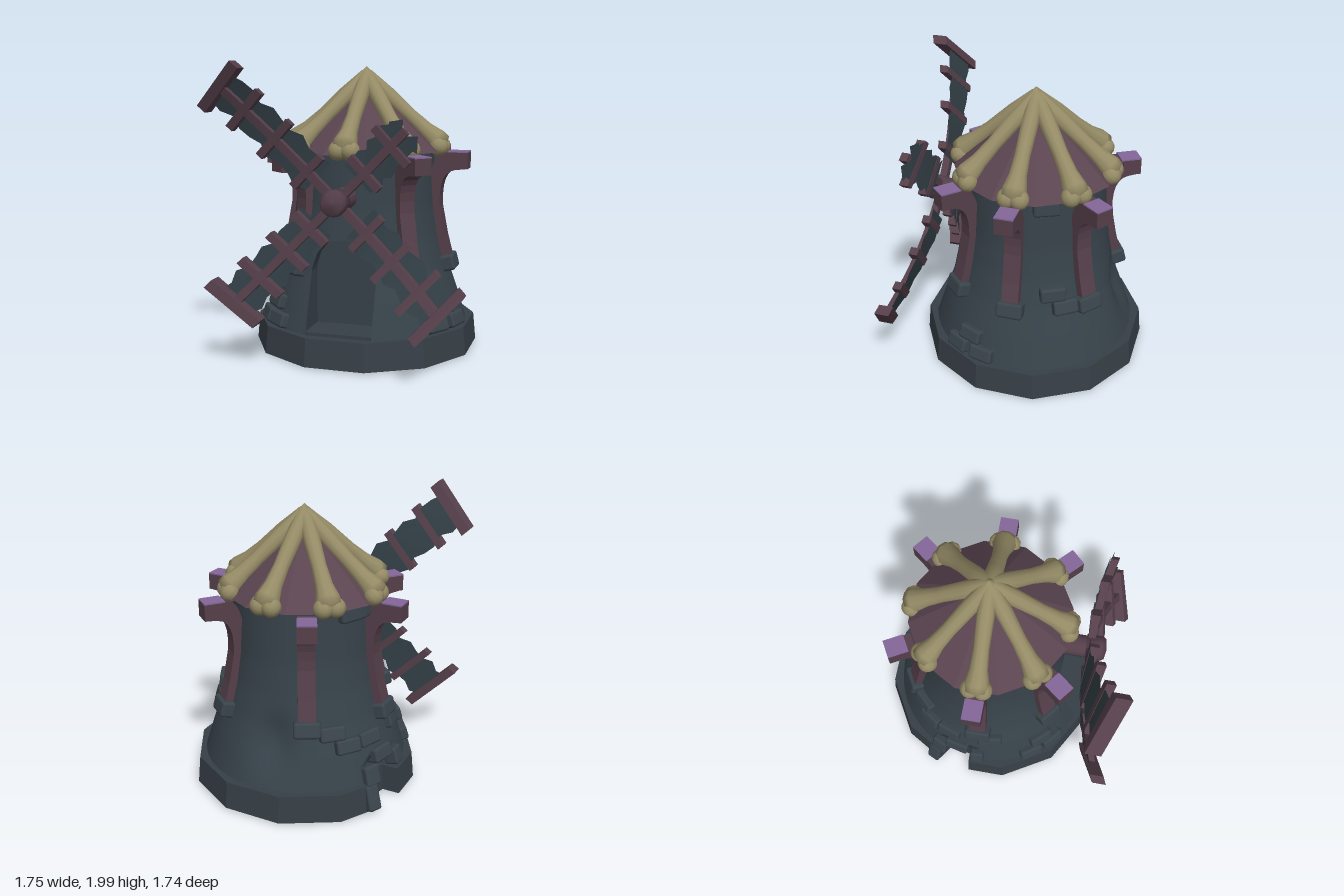
import * as THREE from 'three';
import { RoundedBoxGeometry } from 'three/addons/geometries/RoundedBoxGeometry.js';

const mat = (name, color, extra = {}) => {
  const m = new THREE.MeshStandardMaterial({ color, ...extra });
  m.name = name;
  return m;
};
const RAD = Math.PI / 180;

// Grid of 3D points -> surface; skip(i, j) leaves a hole
function gridGeometry(rows, skip = () => false) {
  const n = rows[0].length, index = [];
  for (let j = 0; j < rows.length - 1; j++) {
    for (let i = 0; i < n - 1; i++) {
      if (skip(i, j)) continue;
      const a = j * n + i, b = a + 1, c = a + n, d = c + 1;
      index.push(a, c, b, b, c, d);
    }
  }
  const g = new THREE.BufferGeometry();
  g.setAttribute('position', new THREE.Float32BufferAttribute(rows.flat(2), 3));
  g.setIndex(index);
  g.computeVertexNormals();
  return g;
}

// Moves every vertex by a rule
function warp(g, rule) {
  const p = g.attributes.position, v = new THREE.Vector3();
  for (let i = 0; i < p.count; i++) {
    rule(v.fromBufferAttribute(p, i));
    p.setXYZ(i, v.x, v.y, v.z);
  }
  g.computeVertexNormals();
  return g;
}

// Tower radius at a height
const wall = [[0.19, 0.71], [0.4, 0.645], [0.6, 0.575], [0.8, 0.525], [1.0, 0.495], [1.39, 0.47]];
function radius(y) {
  for (let k = 1; k < wall.length; k++) {
    const [y0, r0] = wall[k - 1], [y1, r1] = wall[k];
    if (y <= y1 || k === wall.length - 1) return r0 + (r1 - r0) * (y - y0) / (y1 - y0);
  }
}

export function createModel() {
  const stone = mat('stone', 0x363f46, { flatShading: true });
  const wallStone = mat('wall stone', 0x37424a, { side: THREE.DoubleSide });
  const brickStone = mat('brick stone', 0x39444b);
  const cloth = mat('sail cloth', 0x334047, { side: THREE.DoubleSide, flatShading: true });
  const wood = mat('dark wood', 0x553f4a);
  const cutWood = mat('cut wood', 0x84669a, { flatShading: true });
  const roofing = mat('roofing', 0x5a4450, { flatShading: true });
  const boneMat = mat('bone', 0x958b66);

  const model = new THREE.Group();
  const tower = new THREE.Group();
  tower.name = 'tower';
  tower.position.z = -0.1;
  model.add(tower);
  const add = (parent, name, geometry, material) => {
    const m = new THREE.Mesh(geometry, material);
    m.name = name;
    parent.add(m);
    return m;
  };

  // Twelve-sided plinth with a broken notch on one side
  const plan = [];
  for (let k = 0; k < 12; k++) {
    const a = (15 + 30 * k) * RAD;
    if (k === 6) plan.push([-0.76, -0.06], [-0.64, -0.06], [-0.6, -0.22], [-0.709, -0.292]);
    else plan.push([0.787 * Math.cos(a), 0.787 * Math.sin(a)]);
  }
  const baseShape = new THREE.Shape(plan.map(([x, z]) => new THREE.Vector2(x, -z)));
  const base = new THREE.ExtrudeGeometry(baseShape, { depth: 0.19, bevelEnabled: false });
  base.rotateX(-Math.PI / 2).translate(0, 0.01, 0);
  add(tower, 'base', warp(base, v => {
    const s = 1 - 0.12 * (v.y - 0.01);
    v.x *= s; v.z *= s;
  }), stone);

  // Curved tower wall with an arched opening at the front and a dent at the back
  const half = 0.225, doorCols = 14, sideCols = 80, low = 14, high = 16;
  const wallPoint = (i, y) => {
    const r = radius(y), edge = Math.acos(half / r);
    if (i <= doorCols) {
      const x = half * (1 - 2 * i / doorCols);
      return [x, y, Math.sqrt(r * r - x * x)];
    }
    const a = Math.PI - edge + (Math.PI + 2 * edge) * (i - doorCols) / sideCols;
    const notch = y < 0.33 && a > 185 * RAD && a < 203 * RAD;
    const dent = 0.07 * Math.exp(-(((a / RAD - 262) / 13) ** 2) - ((y - 0.47) / 0.18) ** 2);
    const q = notch ? 0.58 : r - dent;
    return [q * Math.cos(a), y, q * Math.sin(a)];
  };
  const archY = i => {
    const s = 1 - 2 * i / doorCols;
    return i <= doorCols ? 0.62 + 0.2 * Math.sqrt(Math.max(0, 1 - s * s)) : 0.62;
  };
  const rows = [];
  for (let j = 0; j <= low + high; j++) {
    rows.push(Array.from({ length: doorCols + sideCols + 1 }, (_, i) => {
      const h = archY(i);
      return wallPoint(i, j <= low ? 0.19 + (h - 0.19) * j / low : h + (1.39 - h) * (j - low) / high);
    }));
  }
  add(tower, 'wall', gridGeometry(rows, (i, j) => i < doorCols && j < low), wallStone);

  // Doorway reveal, back panel and sill
  const outline = [];
  for (let j = 0; j < low; j++) outline.push(rows[j][0]);
  for (let i = 0; i <= doorCols; i++) outline.push(rows[low][i]);
  for (let j = low - 1; j >= 0; j--) outline.push(rows[j][doorCols]);
  const depth = 0.42;
  add(tower, 'doorReveal', gridGeometry([outline, outline.map(([x, y]) => [x, y, depth])]), wallStone);
  const panel = new THREE.ShapeGeometry(new THREE.Shape(outline.map(([x, y]) => new THREE.Vector2(x, y))));
  add(tower, 'doorPanel', panel.translate(0, 0, depth), wallStone);
  add(tower, 'doorSill', new THREE.BoxGeometry(2 * half, 0.03, 0.26), stone).position.set(0, 0.207, 0.545);

  // Loose bricks: [angle, height, width, height of brick]
  const bricks = [
    [24, 0.35], [32, 0.25], [15, 0.25], [-28, 0.71], [-36, 0.61], [-24, 1.33],
    [146, 0.25], [131, 0.25], [138, 0.36],
    [225, 0.56], [216, 0.47], [200, 0.48], [172, 0.5], [186, 1.33], [205, 1.33],
    [204, 0.24, 0.12, 0.14], [206, 0.1, 0.1, 0.18], [193, 0.35], [180, 0.27, 0.1, 0.12],
  ];
  for (const [deg, y, w = 0.175, h = 0.1] of bricks) {
    const turn = new THREE.Group();
    turn.rotation.y = -deg * RAD;
    tower.add(turn);
    const b = add(turn, 'brick', new RoundedBoxGeometry(0.1, h, w, 2, 0.018), brickStone);
    b.position.set(radius(y) - 0.005, y, 0);
    b.rotation.z = y < 0.7 ? 0.3 : 0.08;
  }

  // Roof cone
  const roof = add(tower, 'roof', new THREE.ConeGeometry(0.55, 0.48, 12), roofing);
  roof.position.y = 1.62;
  roof.rotation.y = 15 * RAD;

  // Bone rafters meeting at the peak
  const shaft = new THREE.LatheGeometry([[0, -0.01], [0.05, 0], [0.058, 0.2], [0.052, 0.42], [0.06, 0.56],
    [0.082, 0.66], [0.08, 0.71], [0, 0.745]].map(p => new THREE.Vector2(...p)), 10);
  const knob = new THREE.SphereGeometry(0.066, 10, 8);
  for (let k = 0; k < 8; k++) {
    const turn = new THREE.Group();
    turn.name = 'boneRafter';
    turn.rotation.y = k * 45 * RAD;
    tower.add(turn);
    const bone = new THREE.Group();
    bone.position.y = 1.89;
    bone.rotation.z = -131.5 * RAD;
    turn.add(bone);
    add(bone, 'boneShaft', shaft, boneMat);
    for (const s of [-1, 1]) add(bone, 'boneKnob', knob, boneMat).position.set(0.01, 0.71, 0.042 * s);
  }
  add(tower, 'peak', new THREE.ConeGeometry(0.1, 0.1, 8), boneMat).position.y = 1.905;

  // Timber brackets on stone feet
  const side = new THREE.Shape();
  side.moveTo(0.55, 0.6);
  side.lineTo(0.63, 0.6);
  side.lineTo(0.578, 0.8);
  side.lineTo(0.54, 1.0);
  side.quadraticCurveTo(0.525, 1.24, 0.64, 1.255);
  side.lineTo(0.72, 1.265);
  side.lineTo(0.728, 1.375);
  side.lineTo(0.54, 1.375);
  side.quadraticCurveTo(0.45, 1.3, 0.46, 1.0);
  const bracket = new THREE.ExtrudeGeometry(side, { depth: 0.115, bevelEnabled: false, curveSegments: 6 });
  bracket.translate(0, 0, -0.0575);
  for (const deg of [0, 44, 128, 180, 241, 308]) {
    const g = new THREE.Group();
    g.name = 'bracket';
    g.rotation.y = -deg * RAD;
    tower.add(g);
    add(g, 'bracketTimber', bracket, wood);
    add(g, 'bracketTop', new THREE.BoxGeometry(0.14, 0.009, 0.125), cutWood).position.set(0.658, 1.379, 0);
    add(g, 'bracketHead', new THREE.BoxGeometry(0.13, 0.11, 0.125), wood).position.set(0.663, 1.32, 0);
    const foot = add(g, 'bracketFoot', new RoundedBoxGeometry(0.11, 0.11, 0.18, 2, 0.02), brickStone);
    foot.position.set(0.595, 0.61, 0);
    foot.rotation.z = 0.25;
  }

  // Windmill axle and rounded hub
  const rotor = new THREE.Group();
  rotor.name = 'rotor';
  rotor.position.set(0, 1.1, 0.57);
  model.add(rotor);
  add(rotor, 'axle', new THREE.CylinderGeometry(0.075, 0.075, 0.27, 12).rotateX(Math.PI / 2), wood).position.z = -0.08;
  const hub = new THREE.LatheGeometry([[0, -0.02], [0.085, -0.015], [0.088, 0.09], [0.07, 0.118], [0, 0.13]]
    .map(p => new THREE.Vector2(...p)), 12);
  add(rotor, 'hub', hub.rotateX(Math.PI / 2), wood);

  // Bent, twisted sails: [rotation, length, bend, crossbars as [distance, length]]
  const sails = [
    [45, 1.05, 0.135, [[0.27, 0.28], [0.56, 0.32], [0.82, 0.34]]],
    [136, 0.95, 0.19, [[0.25, 0.28], [0.46, 0.32], [0.7, 0.34]]],
    [227, 0.98, 0.19, [[0.28, 0.28], [0.52, 0.33], [0.77, 0.34]]],
    [315, 0.66, 0.14, [[0.27, 0.28], [0.52, 0.32]]],
  ];
  sails.forEach(([deg, len, curve, bars], k) => {
    const bend = v => { v.z += curve * v.y * v.y + 0.28 * v.x * v.y; };
    const bar = (w, h, d, x, y) => warp(new THREE.BoxGeometry(w, h, d, 1, 10, 1).translate(x, y, 0.015), bend);
    const sail = new THREE.Group();
    sail.name = 'sail';
    sail.rotation.z = deg * RAD;
    rotor.add(sail);
    add(sail, 'spar', bar(0.055, len, 0.05, 0, len / 2), wood);
    for (const [d, w] of bars) add(sail, 'crossbar', bar(w, 0.052, 0.06, 0, d), wood);
    if (k < 3) add(sail, 'endBar', bar(0.4, 0.065, 0.1, 0, len - 0.025), wood);
    // Ragged cloth
    const strips = [];
    for (let j = 0; j <= 10; j++) {
      const y = 0.2 + (len - 0.22) * j / 10;
      strips.push([-1, -0.5, 0, 0.5, 1].map((s, i) => {
        const w = 0.125 + 0.022 * Math.sin(j * 2.3 + k + s);
        const torn = k === 3 && j === 10 ? (i % 2 ? 0.05 : -0.03) : 0;
        const v = new THREE.Vector3(s * w, y + torn, -0.012);
        bend(v);
        return v.toArray();
      }));
    }
    add(sail, 'sailCloth', gridGeometry(strips), cloth);
  });

  return model;
}
